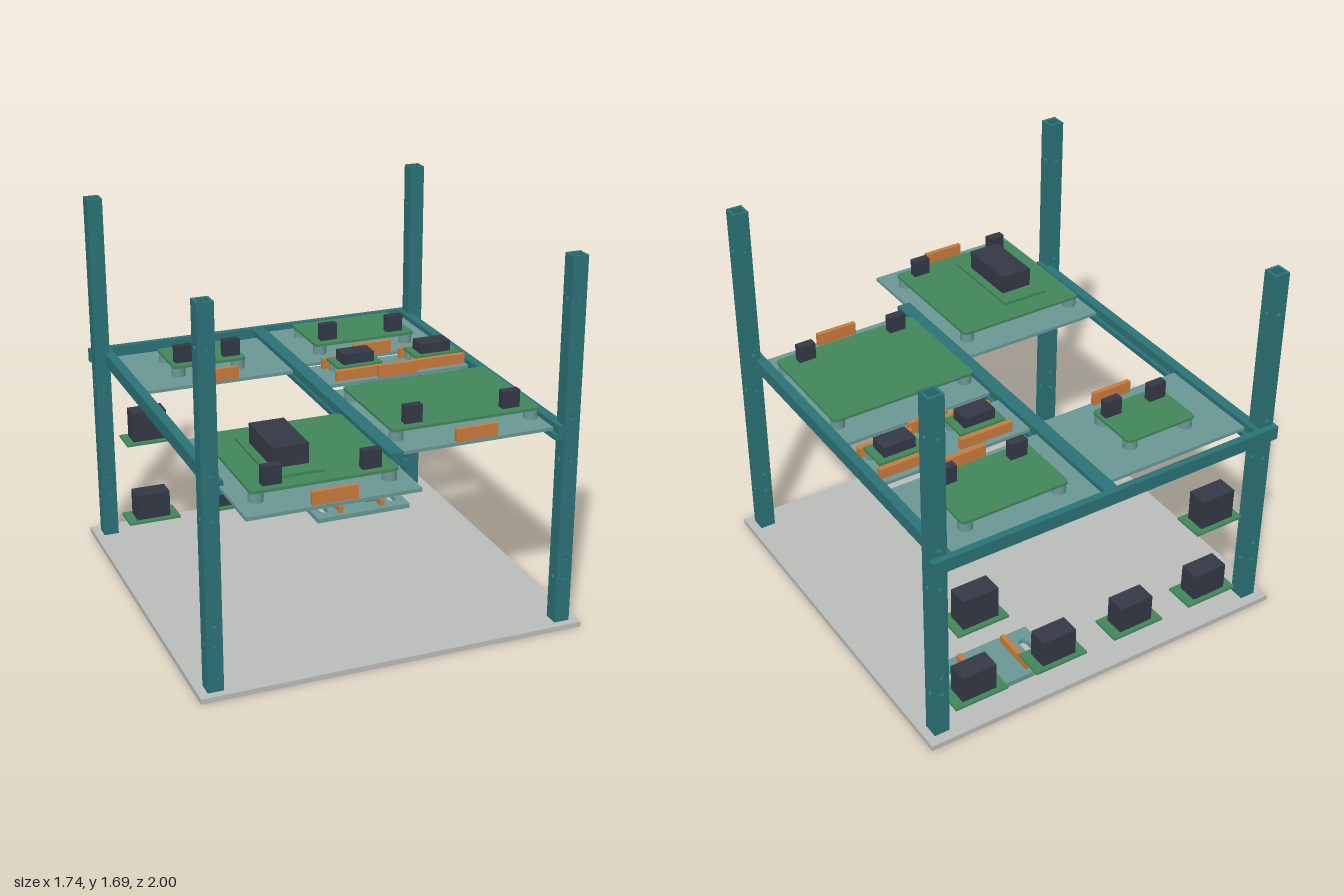
import * as THREE from 'three';

const mat = (name, color) => {
  const m = new THREE.MeshStandardMaterial({ color });
  m.name = name;
  return m;
};

export function createModel() {
  const root = new THREE.Group();
  root.name = 'equipmentRack';
  const frame = mat('frameTeal', 0x2b7377);
  const tray = mat('trayTeal', 0x6a9896);
  const green = mat('boardGreen', 0x41875a);
  const dark = mat('componentDark', 0x343946);
  const orange = mat('handleOrange', 0xc97b3c);
  const grey = mat('baseGrey', 0xbabdb9);

  const add = (geo, material, name, parent = root) => {
    const m = new THREE.Mesh(geo, material);
    m.name = name;
    parent.add(m);
    return m;
  };
  // Box given by its limits on each axis
  const box = (name, material, x0, x1, y0, y1, z0, z1, parent) => {
    const g = new THREE.BoxGeometry(x1 - x0, y1 - y0, z1 - z0);
    g.translate((x0 + x1) / 2, (y0 + y1) / 2, (z0 + z1) / 2);
    return add(g, material, name, parent);
  };
  const circleHole = (x, y, r) => new THREE.Path().absarc(x, y, r, 0, Math.PI * 2, true);
  const roundedRect = (shape, x0, x1, y0, y1, r) => {
    shape.absarc(x1 - r, y0 + r, r, -Math.PI / 2, 0);
    shape.absarc(x1 - r, y1 - r, r, 0, Math.PI / 2);
    shape.absarc(x0 + r, y1 - r, r, Math.PI / 2, Math.PI);
    shape.absarc(x0 + r, y0 + r, r, Math.PI, Math.PI * 1.5);
    shape.closePath();
    return shape;
  };
  // Horizontal plate with optional corner radius and holes (hole paths use x, -z)
  const plate = (name, material, x0, x1, y0, y1, z0, z1, r = 0, holes = [], parent = root) => {
    const s = new THREE.Shape();
    if (r > 0) roundedRect(s, x0, x1, -z1, -z0, r);
    else s.moveTo(x0, -z1).lineTo(x1, -z1).lineTo(x1, -z0).lineTo(x0, -z0).closePath();
    s.holes.push(...holes);
    const g = new THREE.ExtrudeGeometry(s, { depth: y1 - y0, bevelEnabled: false, curveSegments: 8 });
    g.rotateX(-Math.PI / 2).translate(0, y0, 0);
    return add(g, material, name, parent);
  };

  // Base plate with a hole below each post
  const postX = [-0.795, 0.795], postZ = [-0.92, 0.665];
  const postHoles = () => postX.flatMap(x => postZ.map(z => circleHole(x, -z, 0.016)));
  plate('basePlate', grey, -0.87, 0.87, 0, 0.024, -1, 0.735, 0, postHoles());

  // Hollow square posts with drilled walls
  const W = 0.07, T = 0.012, Y0 = 0.024, Y1 = 1.686;
  const wall = (width, ys) => {
    const s = new THREE.Shape();
    s.moveTo(-width / 2, Y0).lineTo(width / 2, Y0).lineTo(width / 2, Y1).lineTo(-width / 2, Y1).closePath();
    ys.forEach(y => s.holes.push(circleHole(0, y, 0.012)));
    return new THREE.ExtrudeGeometry(s, { depth: T, bevelEnabled: false, curveSegments: 8 }).translate(0, 0, -T / 2);
  };
  const frontWall = wall(W, [0.24, 0.33, 0.793, 0.985, 1.505]);
  const sideWall = wall(W - 2 * T, [0.24, 0.793, 1.505]).rotateY(Math.PI / 2);
  for (const x of postX) for (const z of postZ) {
    const post = new THREE.Group();
    post.name = 'cornerPost';
    root.add(post);
    for (const s of [-1, 1]) {
      add(frontWall, frame, 'postFrontWall', post).position.set(x, 0, z + s * (W - T) / 2);
      add(sideWall, frame, 'postSideWall', post).position.set(x + s * (W - T) / 2, 0, z);
    }
    plate('postFoot', frame, x - 0.023, x + 0.023, Y0, Y0 + 0.01, z - 0.023, z + 0.023, 0,
      [circleHole(x, -z, 0.016)], post);
  }

  // Rails with ledges carrying the trays
  box('backRail', frame, -0.838, 0.838, 0.89, 0.952, -0.982, -0.952);
  for (const s of [-1, 1]) {
    const a = s * 0.738, b = s * 0.782, c = s * 0.72;
    box('sideRail', frame, Math.min(a, b), Math.max(a, b), 0.89, 0.95, -0.952, 0.69);
    box('sideLedge', frame, Math.min(a, c), Math.max(a, c), 0.89, 0.912, -0.952, 0.69);
  }
  box('middleRail', frame, -0.034, 0.028, 0.89, 0.95, -0.952, 0.695);
  box('middleLedge', frame, -0.045, 0.045, 0.89, 0.912, -0.952, 0.695);

  // Trays, each with a board on standoffs, two components and a front handle
  const TY0 = 0.913, TY1 = 0.928, BY0 = 0.97, BY1 = 0.982;
  const standoffGeo = new THREE.CylinderGeometry(0.031, 0.031, BY0 - TY1, 20);
  const trays = [
    { t: [-0.74, -0.034, -0.885, -0.4], b: [-0.565, -0.22, -0.77, -0.51], chips: [-0.504, -0.276], cz: -0.568, handle: [-0.39, -0.42] },
    { t: [-0.755, -0.03, 0.19, 1], b: [-0.7, -0.083, 0.285, 0.9], chips: [-0.6, -0.185], cz: 0.849, handle: [-0.39, 0.974] },
    { t: [0.028, 0.738, -0.95, -0.463], b: [0.135, 0.633, -0.86, -0.545], chips: [0.217, 0.551], cz: -0.603, handle: [0.385, -0.484] },
    { t: [0.028, 0.738, -0.1, 0.642], b: [0.045, 0.73, 0, 0.54], chips: [0.158, 0.61], cz: 0.483, handle: [0.385, 0.619] },
    { t: [0.028, 0.738, -0.416, -0.167], handle: [0.385, -0.188] },
  ];
  for (const { t, b, chips, cz, handle } of trays) {
    const unit = new THREE.Group();
    unit.name = 'trayUnit';
    root.add(unit);
    const feet = b ? [b[0] + 0.031, b[1] - 0.031].flatMap(x => [b[2] + 0.031, b[3] - 0.031].map(z => [x, z])) : [];
    plate('tray', tray, t[0], t[1], TY0, TY1, t[2], t[3], 0, feet.map(([x, z]) => circleHole(x, -z, 0.009)), unit);
    feet.forEach(([x, z]) => add(standoffGeo, tray, 'standoff', unit).position.set(x, (TY1 + BY0) / 2, z));
    box('handle', orange, handle[0] - 0.095, handle[0] + 0.095, TY1, 0.985, handle[1], handle[1] + 0.021, unit);
    if (!b) continue;
    plate('circuitBoard', green, b[0], b[1], BY0, BY1, b[2], b[3], 0.018, [], unit);
    chips.forEach(x => box('component', dark, x - 0.04, x + 0.04, BY1, 1.06, cz - 0.019, cz + 0.019, unit));
  }

  // Stacked module on the front tray
  box('upperBoard', green, -0.588, -0.367, BY1, 0.994, 0.39, 0.825);
  box('largeComponent', dark, -0.553, -0.404, 0.994, 1.08, 0.47, 0.75);

  // Two small boards held between orange bars
  const pinGeo = new THREE.CylinderGeometry(0.014, 0.014, BY0 - TY1, 12);
  for (const x of [0.225, 0.607]) {
    box('smallBoard', green, x - 0.109, x + 0.109, BY0, BY1, -0.362, -0.224);
    box('smallComponent', dark, x - 0.074, x + 0.074, BY1, 1.03, -0.335, -0.245);
    for (const z of [-0.378, -0.208]) box('clampBar', orange, x - 0.126, x + 0.126, TY1, 0.975, z - 0.012, z + 0.012);
    for (const dx of [-0.09, 0.09]) for (const z of [-0.343, -0.243])
      add(pinGeo, tray, 'smallStandoff').position.set(x + dx, (TY1 + BY0) / 2, z);
  }

  // Sensor modules along the back
  const sensor = (x, y, w, h, z) => {
    const g = new THREE.Group();
    g.name = 'sensorModule';
    root.add(g);
    box('sensorBoard', green, x - w, x + w, y, y + 0.01, z - 0.07, z + 0.07, g);
    box('sensorBody', dark, x - 0.082, x + 0.082, y + 0.01, y + h, z - 0.048, z + 0.045, g);
  };
  for (const x of [-0.597, -0.2, 0.197, 0.592]) sensor(x, 0.092, 0.127, 0.138, -0.87);
  for (const x of [-0.597, 0.592]) sensor(x, 0.495, 0.119, 0.153, -0.88);

  // Slotted floor bracket with two bars and a small sensor
  const slots = [0.235, 0.6].map(x => roundedRect(new THREE.Path(), x - 0.02, x + 0.02, 0.68, 0.815, 0.019));
  plate('floorBracket', tray, 0.172, 0.664, 0.024, 0.048, -0.875, -0.62, 0, slots);
  for (const x of [0.307, 0.527]) box('bracketBar', orange, x - 0.011, x + 0.011, 0.048, 0.083, -0.845, -0.645);
  box('bracketBoard', green, 0.467, 0.51, 0.048, 0.06, -0.78, -0.715);
  box('bracketSensor', dark, 0.472, 0.505, 0.06, 0.1, -0.757, -0.738);

  return root;
}
